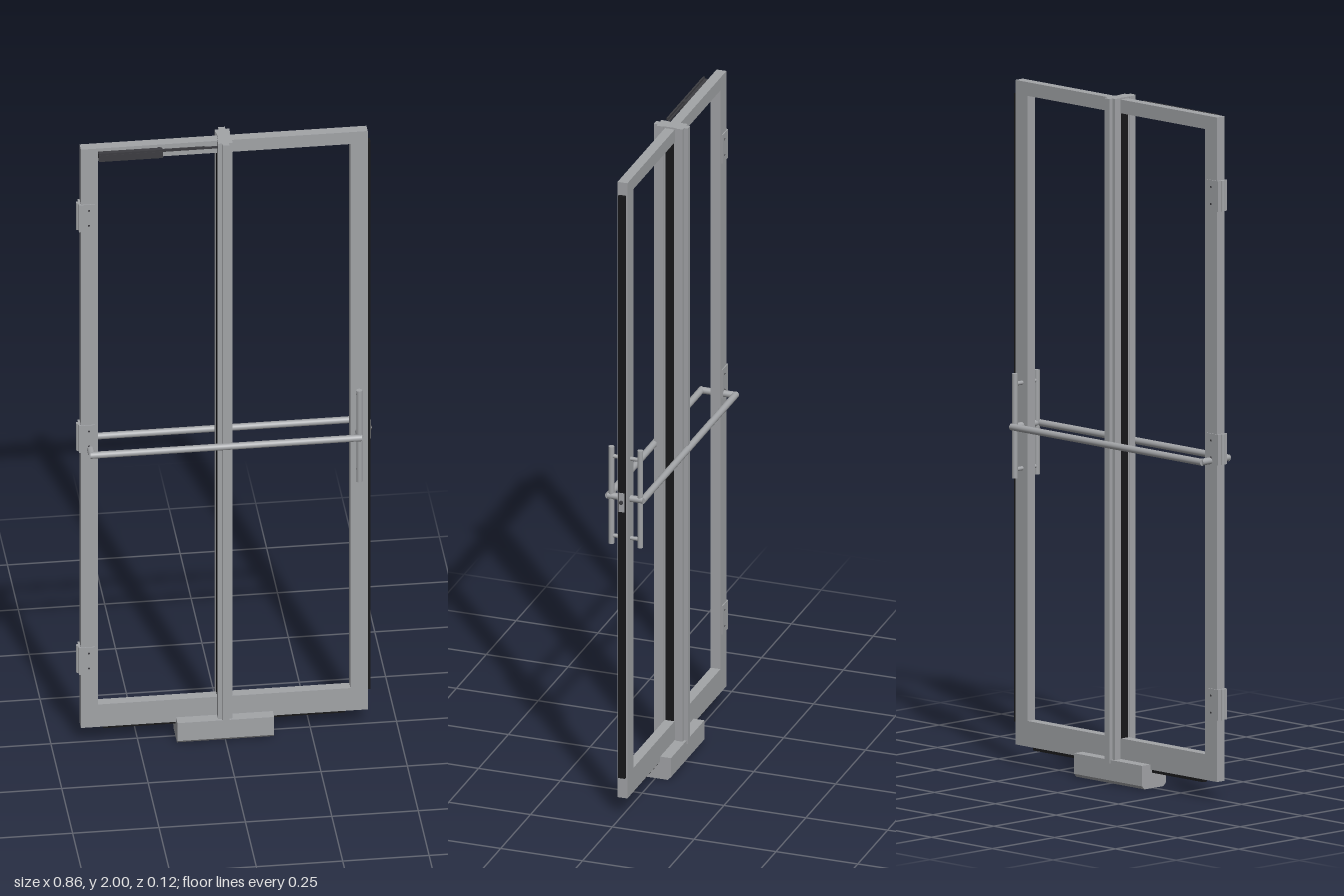
import * as THREE from 'three';

export function createModel() {
  const door = new THREE.Group();
  door.name = 'glazedDoorFrame';
  const material = (name, color) => {
    const m = new THREE.MeshStandardMaterial({ color });
    m.name = name;
    return m;
  };
  const metal = material('brushed grey metal', 0xa2a4a7);
  const dark = material('dark grey', 0x3d3d41);
  const rubber = material('black rubber', 0x18181a);

  const add = (name, geometry, mat, x = 0, y = 0, z = 0) => {
    const mesh = new THREE.Mesh(geometry, mat);
    mesh.name = name;
    mesh.position.set(x, y, z);
    door.add(mesh);
    return mesh;
  };
  // Box given by its limits on each axis
  const box = (name, mat, x0, x1, y0, y1, z0, z1) =>
    add(name, new THREE.BoxGeometry(x1 - x0, y1 - y0, z1 - z0), mat,
      (x0 + x1) / 2, (y0 + y1) / 2, (z0 + z1) / 2);
  // Cylinder along a chosen axis
  const rod = (name, mat, axis, radius, length, x, y, z) => {
    const g = new THREE.CylinderGeometry(radius, radius, length, 20);
    if (axis === 'x') g.rotateZ(Math.PI / 2);
    if (axis === 'z') g.rotateX(Math.PI / 2);
    return add(name, g, mat, x, y, z);
  };
  const polygon = (points) => new THREE.Shape(points.map(([x, y]) => new THREE.Vector2(x, y)));

  // Rectangular leaf: stiles, top rail and taller bottom rail
  const leaf = polygon([[-0.415, 0.055], [0.415, 0.055], [0.415, 1.995], [-0.415, 1.995]]);
  leaf.holes.push(polygon([[-0.365, 0.13], [-0.365, 1.955], [0.365, 1.955], [0.365, 0.13]]));
  add('leafFrame', new THREE.ExtrudeGeometry(leaf, { depth: 0.03, bevelEnabled: false }), metal, 0, 0, -0.015);

  // Weather seals on the closing edge and along the bottom
  box('edgeSeal', rubber, 0.415, 0.424, 0.12, 1.955, -0.011, 0.011);
  box('bottomSeal', rubber, -0.35, 0.35, 0.045, 0.055, -0.008, 0.008);

  // Central post with a stepped section, running the full height
  const quarter = [[0.01, 0.052], [0.01, 0.04], [0.021, 0.04], [0.021, 0.018], [0.018, 0.018]];
  const section = [
    ...quarter,
    ...[...quarter].reverse().map(([x, z]) => [x, -z]),
    ...quarter.map(([x, z]) => [-x, -z]),
    ...[...quarter].reverse().map(([x, z]) => [-x, z]),
  ];
  const postGeometry = new THREE.ExtrudeGeometry(polygon(section), { depth: 1.94, bevelEnabled: false });
  postGeometry.rotateX(-Math.PI / 2);
  add('centrePost', postGeometry, metal, 0, 0.06, 0);
  for (const s of [-1, 1]) {
    box('postGasket', rubber, s * 0.019 - 0.001, s * 0.019 + 0.001, 0.13, 1.955, -0.013, 0.013);
  }

  // Foot block with chamfered lower edges and screw holes underneath
  const foot = polygon([[-0.048, 0.01], [-0.038, 0], [0.038, 0], [0.048, 0.01], [0.048, 0.07], [-0.048, 0.07]]);
  const footGeometry = new THREE.ExtrudeGeometry(foot, { depth: 0.28, bevelEnabled: false });
  footGeometry.rotateY(Math.PI / 2);
  add('footBlock', footGeometry, metal, -0.14, 0, 0);
  for (const x of [-0.1, -0.035, 0.035, 0.1]) rod('footScrewHole', dark, 'y', 0.009, 0.002, x, 0.0005, 0);

  // Push bars and pull handles on both faces
  for (const s of [-1, 1]) {
    rod('pushBar', metal, 'x', 0.01, 0.785, 0, 0.99, s * 0.052);
    rod('pullHandle', metal, 'y', 0.0085, 0.305, 0.387, 0.9925, s * 0.044);
    for (const y of [0.865, 1.115]) rod('handleStandoff', metal, 'z', 0.006, 0.032, 0.387, y, s * 0.028);
  }
  for (const x of [-0.388, 0.388]) rod('pushBarBracket', metal, 'z', 0.01, 0.108, x, 0.99, 0);

  // Wrap-around hinges with knuckles and fixing screws
  for (const y of [0.28, 1.025, 1.765]) {
    box('hingeLeaf', metal, -0.421, -0.375, y - 0.045, y + 0.045, -0.018, 0.018);
    rod('hingeKnuckle', metal, 'y', 0.006, 0.09, -0.422, y, 0);
    for (const dy of [-0.025, 0.025]) rod('hingeScrew', dark, 'z', 0.003, 0.0375, -0.392, y + dy, 0);
  }

  // Latch at the closing edge
  box('latchPlate', metal, 0.42, 0.425, 0.96, 1.02, -0.009, 0.009);
  rod('latchBolt', dark, 'x', 0.006, 0.008, 0.425, 0.99, 0);

  // Door closer body and its arm below the top edge
  box('closerBody', dark, -0.365, -0.18, 1.964, 1.985, 0.014, 0.039);
  box('closerRail', dark, -0.365, -0.06, 1.984, 1.991, 0.033, 0.038);
  box('closerArm', dark, -0.18, -0.02, 1.98, 1.986, 0.028, 0.032);
  rod('closerPivot', dark, 'y', 0.008, 0.01, -0.19, 1.986, 0.03);

  return door;
}
